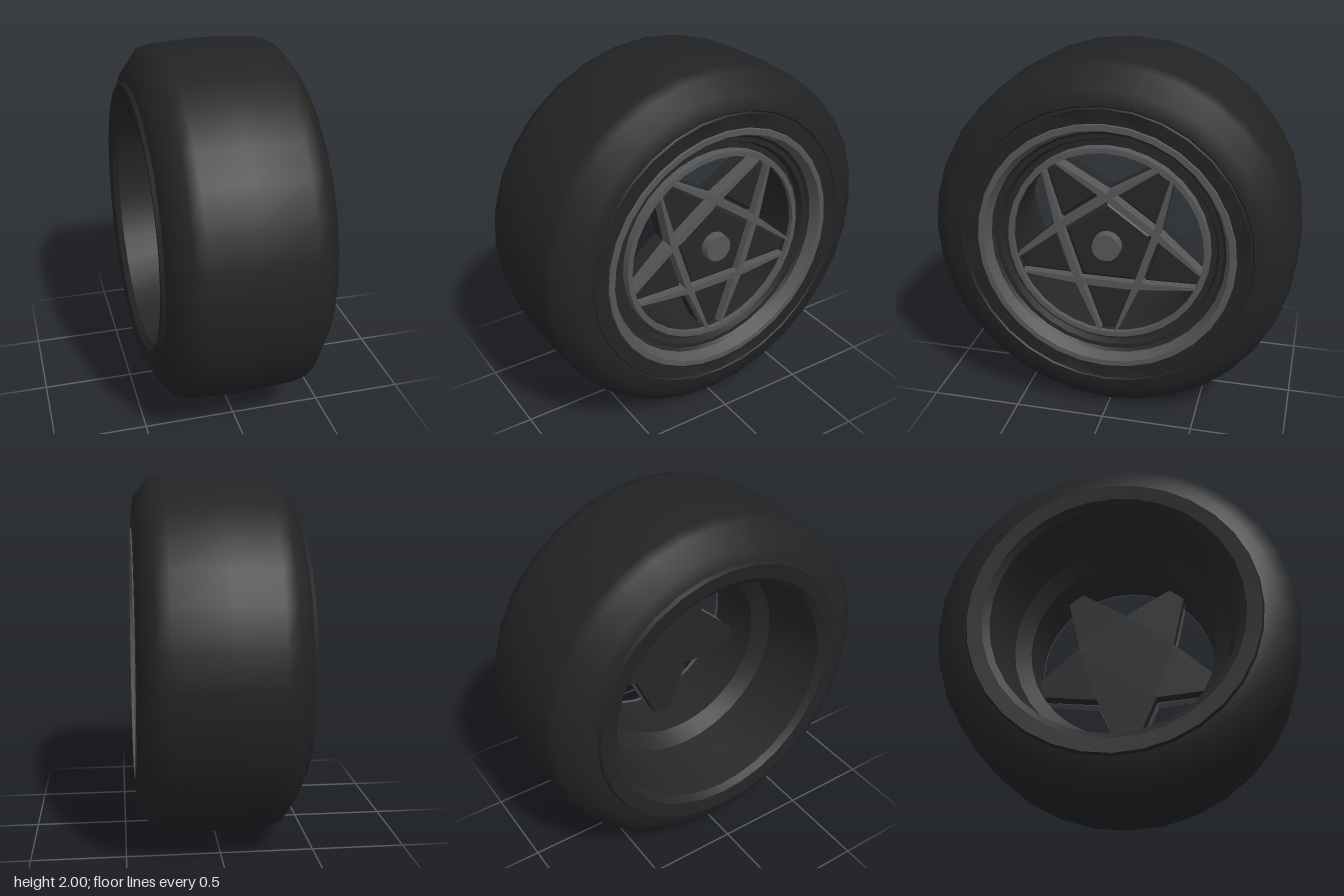
import * as THREE from 'three';
import { toCreasedNormals } from 'three/addons/utils/BufferGeometryUtils.js';

export function createModel() {
  const mat = (name, color, side = THREE.FrontSide) => {
    const m = new THREE.MeshStandardMaterial({ color, side });
    m.name = name;
    return m;
  };
  const rubber = mat('tyre rubber', 0x232323, THREE.DoubleSide);
  const dark = mat('dark rim', 0x272727, THREE.DoubleSide);
  const grey = mat('grey metal', 0x565656, THREE.DoubleSide);

  const model = new THREE.Group();
  model.name = 'wheel';
  const wheel = new THREE.Group();
  wheel.name = 'wheelAssembly';
  wheel.position.y = 1;
  model.add(wheel);

  const add = (name, geometry, material) => {
    const mesh = new THREE.Mesh(geometry, material);
    mesh.name = name;
    wheel.add(mesh);
    return mesh;
  };

  // Ring turned about the x axis from [radius, x] points
  const turned = (name, points, material, crease = 0.6) => {
    const g = new THREE.LatheGeometry(points.map(([r, x]) => new THREE.Vector2(r, x)), 32);
    g.rotateZ(-Math.PI / 2);
    return add(name, toCreasedNormals(g, crease), material);
  };

  // Flat outline facing +x, from x0 to x1, turned by angle about the axle
  const plate = (name, points, x0, x1, material, angle = 0, bevel = 0) => {
    const shape = new THREE.Shape(points.map(([u, v]) => new THREE.Vector2(u, v)));
    const g = new THREE.ExtrudeGeometry(shape, {
      depth: x1 - x0 - bevel, bevelEnabled: bevel > 0, bevelSize: bevel,
      bevelThickness: bevel, bevelOffset: -bevel, bevelSegments: 1,
    });
    g.rotateZ(angle);
    g.rotateY(Math.PI / 2);
    g.translate(x0, 0, 0);
    return add(name, g, material);
  };

  // Tyre with shoulders, side walls and a raised bead on the back
  turned('tyre', [
    [0.70, -0.44], [0.78, -0.45], [0.79, -0.43], [0.86, -0.41], [0.97, -0.325],
    [0.985, -0.26], [1, 0], [0.987, 0.28], [0.97, 0.35], [0.87, 0.425],
    [0.79, 0.437], [0.782, 0.43], [0.775, 0.44], [0.70, 0.44],
  ], rubber, 0.8);

  // Rim face, from the outer lip in to the window
  turned('rimLip', [[0.70, 0.435], [0.695, 0.446], [0.665, 0.446], [0.64, 0.385]], grey);
  turned('rimChannel', [[0.64, 0.385], [0.625, 0.37], [0.60, 0.37], [0.585, 0.335], [0.555, 0.335]], dark);
  turned('innerRing', [[0.555, 0.335], [0.55, 0.375], [0.522, 0.375], [0.52, 0.35]], grey);

  // Hollow barrel, open at the back
  turned('barrel', [[0.52, 0.35], [0.53, 0.03], [0.61, -0.04], [0.665, -0.41], [0.70, -0.44]], dark);

  // Star body: five blunt arms
  const polar = (r, a) => [r * Math.cos(a), r * Math.sin(a)];
  const step = (Math.PI * 2) / 5;
  const star = [];
  for (let i = 0; i < 5; i++) {
    const a = -Math.PI / 2 + i * step;
    star.push(polar(0.522, a - 0.098), polar(0.522, a + 0.098), polar(0.295, a + step / 2));
  }
  plate('starBody', star, 0.2, 0.3, dark);

  // Rails along the arm edges, and a bevelled panel on each arm
  const rail = [
    [-0.48, -0.21], [-0.17, -0.243], [0.17, -0.243], [0.48, -0.21],
    [0.475, -0.195], [0.15, -0.205], [-0.15, -0.205], [-0.475, -0.195],
  ];
  const armPanel = [[-0.13, -0.255], [-0.04, -0.515], [0.04, -0.515], [0.13, -0.255]];
  for (let i = 0; i < 5; i++) {
    plate('starRail', rail, 0.29, 0.37, grey, i * step);
    plate('armPanel', armPanel, 0.29, 0.335, dark, i * step, 0.015);
  }

  // Bevelled centre panel and hub cap
  const centre = [];
  for (let i = 0; i < 5; i++) centre.push(polar(0.25, Math.PI / 2 + i * step));
  plate('centrePanel', centre, 0.29, 0.35, dark, 0, 0.02);

  const cap = new THREE.CylinderGeometry(0.075, 0.082, 0.07, 20);
  cap.rotateZ(-Math.PI / 2);
  add('hubCap', cap, grey).position.x = 0.365;

  return model;
}
